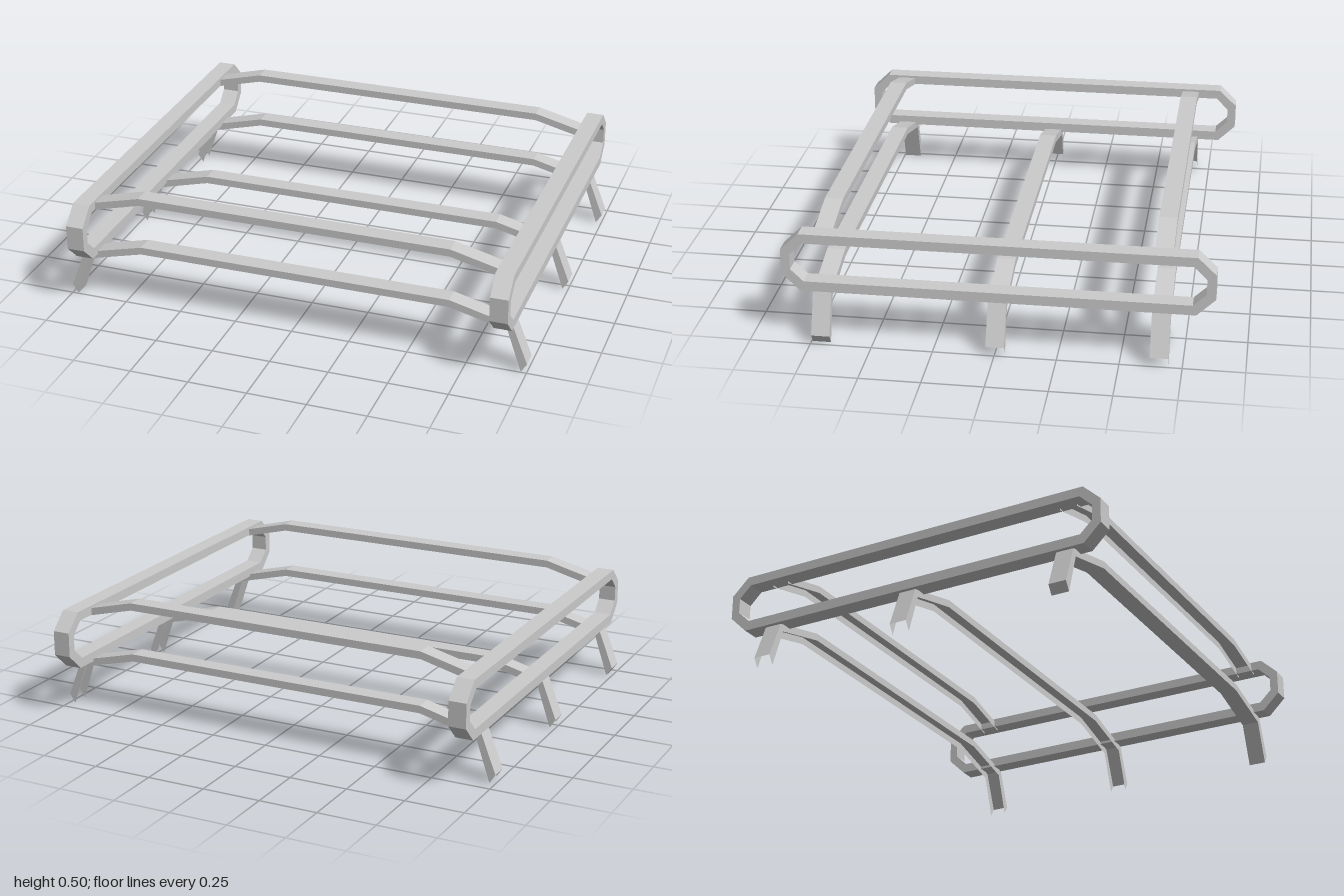
import * as THREE from 'three';

const grey = new THREE.MeshStandardMaterial({ color: 0xcccccc, flatShading: true, side: THREE.DoubleSide });
const WIDTH = 0.075;

// Half profiles as [x, y], from the middle outwards, upper edge and lower edge
const lowerBar = {
  top: [[0.67, 0.272], [0.935, 0.205], [1.0, 0.038]],
  bottom: [[0.67, 0.24], [0.915, 0.178], [0.975, 0]],
};
const upperBar = {
  top: [[0.67, 0.5], [0.9, 0.442]],
  bottom: [[0.67, 0.468], [0.9, 0.41]],
};

// Mirror a half profile into a full line running from -x to +x
const mirrored = (half) => [...half.map(([x, y]) => [-x, y]).reverse(), ...half];

// Bent bar: a channel open underneath, or a closed box section
function barGeometry({ top, bottom }, closed) {
  const t = mirrored(top), b = mirrored(bottom), h = WIDTH / 2;
  const positions = [];
  const quad = (p, q, r, s) => positions.push(...p, ...q, ...r, ...p, ...r, ...s);
  const at = ([x, y], z) => [x, y, z];
  for (let i = 0; i < t.length - 1; i++) {
    const j = i + 1;
    quad(at(t[i], h), at(t[j], h), at(t[j], -h), at(t[i], -h));
    quad(at(b[i], h), at(b[j], h), at(t[j], h), at(t[i], h));
    quad(at(b[j], -h), at(b[i], -h), at(t[i], -h), at(t[j], -h));
    if (closed) quad(at(b[i], -h), at(b[j], -h), at(b[j], h), at(b[i], h));
  }
  if (closed) {
    const n = t.length - 1;
    quad(at(b[0], -h), at(b[0], h), at(t[0], h), at(t[0], -h));
    quad(at(b[n], h), at(b[n], -h), at(t[n], -h), at(t[n], h));
  }
  const geometry = new THREE.BufferGeometry();
  geometry.setAttribute('position', new THREE.Float32BufferAttribute(positions, 3));
  geometry.computeVertexNormals();
  return geometry;
}

// Elongated octagon given by its half length, chamfer start and heights
function octagon(Path, zFlat, zEnd, y0, y1, y2, y3) {
  return new Path([
    [-zFlat, y0], [zFlat, y0], [zEnd, y1], [zEnd, y2],
    [zFlat, y3], [-zFlat, y3], [-zEnd, y2], [-zEnd, y1],
  ].map(([x, y]) => new THREE.Vector2(x, y)));
}

function railGeometry() {
  const shape = octagon(THREE.Shape, 0.795, 0.87, 0.21, 0.283, 0.388, 0.46);
  shape.holes.push(octagon(THREE.Path, 0.78, 0.833, 0.252, 0.303, 0.368, 0.42));
  const geometry = new THREE.ExtrudeGeometry(shape, { depth: WIDTH, bevelEnabled: false });
  geometry.translate(0, 0, -WIDTH / 2);
  geometry.rotateY(Math.PI / 2);
  return geometry;
}

export function createModel() {
  const rack = new THREE.Group();
  rack.name = 'roofRack';
  const add = (name, geometry, x, z) => {
    const mesh = new THREE.Mesh(geometry, grey);
    mesh.name = name;
    mesh.position.set(x, 0, z);
    rack.add(mesh);
  };

  // Looped side rails
  const rail = railGeometry();
  add('leftSideRail', rail, 0.907, 0);
  add('rightSideRail', rail, -0.907, 0);

  // Lower crossbars with splayed feet
  const channel = barGeometry(lowerBar, false);
  add('frontLowerCrossbar', barGeometry(lowerBar, true), 0, 0.708);
  add('middleLowerCrossbar', channel, 0, -0.003);
  add('rearLowerCrossbar', channel, 0, -0.658);

  // Upper crossbars between the rails
  const upper = barGeometry(upperBar, false);
  add('frontUpperCrossbar', upper, 0, 0.708);
  add('rearUpperCrossbar', upper, 0, -0.658);

  return rack;
}
